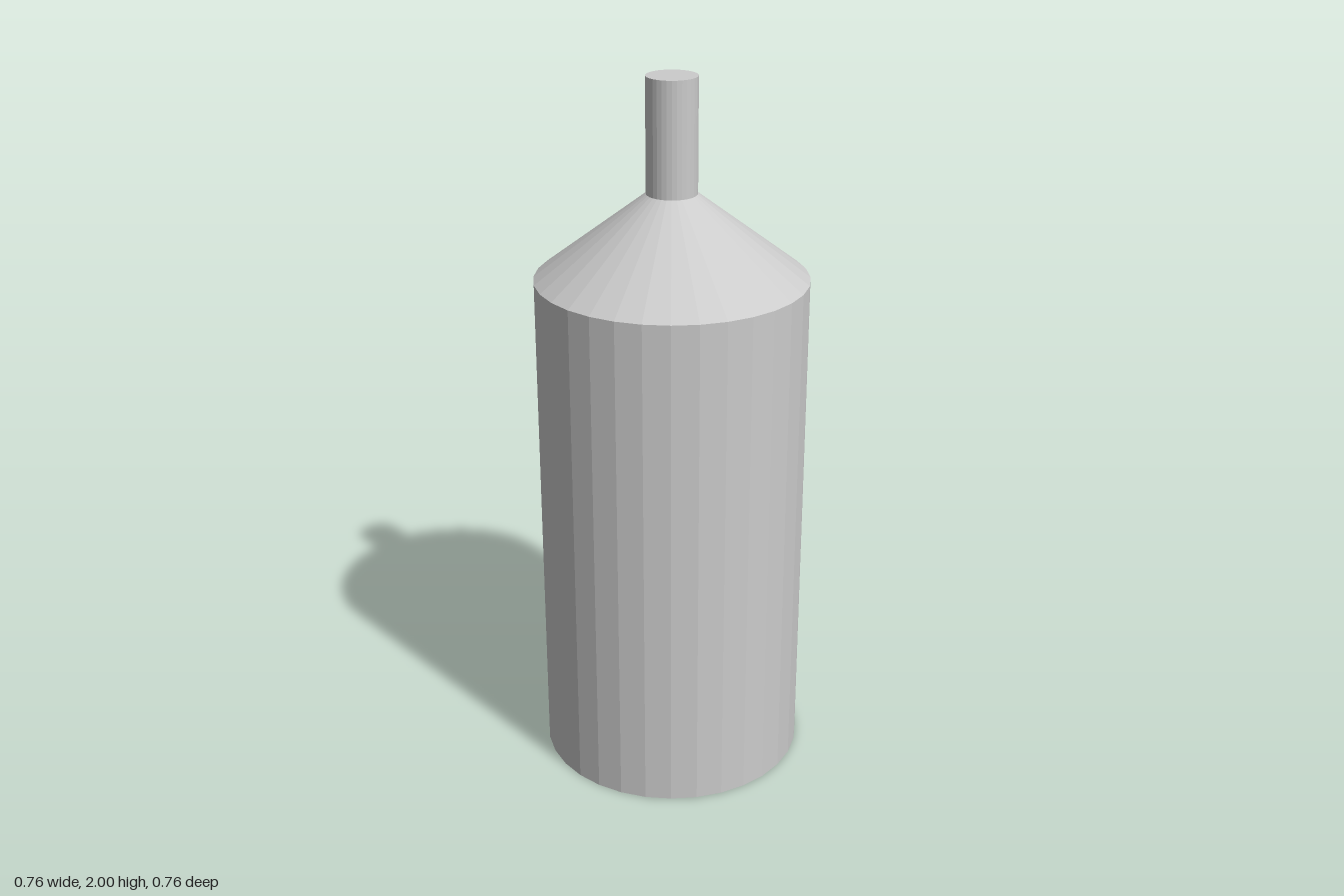
import * as THREE from 'three';

const SIDES = 32;
const BODY_R = 0.378, NECK_R = 0.07;
const SHOULDER_Y = 1.45, NECK_Y = 1.685, TOP_Y = 2;

export function createModel() {
  const group = new THREE.Group();
  group.name = 'bottle';
  const material = new THREE.MeshStandardMaterial({ color: 0xcccccc, flatShading: true });

  // One faceted section standing between two heights
  const section = (name, bottomR, topR, y0, y1, open = false) => {
    const geometry = new THREE.CylinderGeometry(topR, bottomR, y1 - y0, SIDES, 1, open);
    const mesh = new THREE.Mesh(geometry, material);
    mesh.name = name;
    mesh.position.y = (y0 + y1) / 2;
    group.add(mesh);
  };

  section('body', BODY_R, BODY_R, 0, SHOULDER_Y);
  section('shoulder', BODY_R, NECK_R, SHOULDER_Y, NECK_Y, true);
  section('neck', NECK_R, NECK_R, NECK_Y, TOP_Y);

  return group;
}
